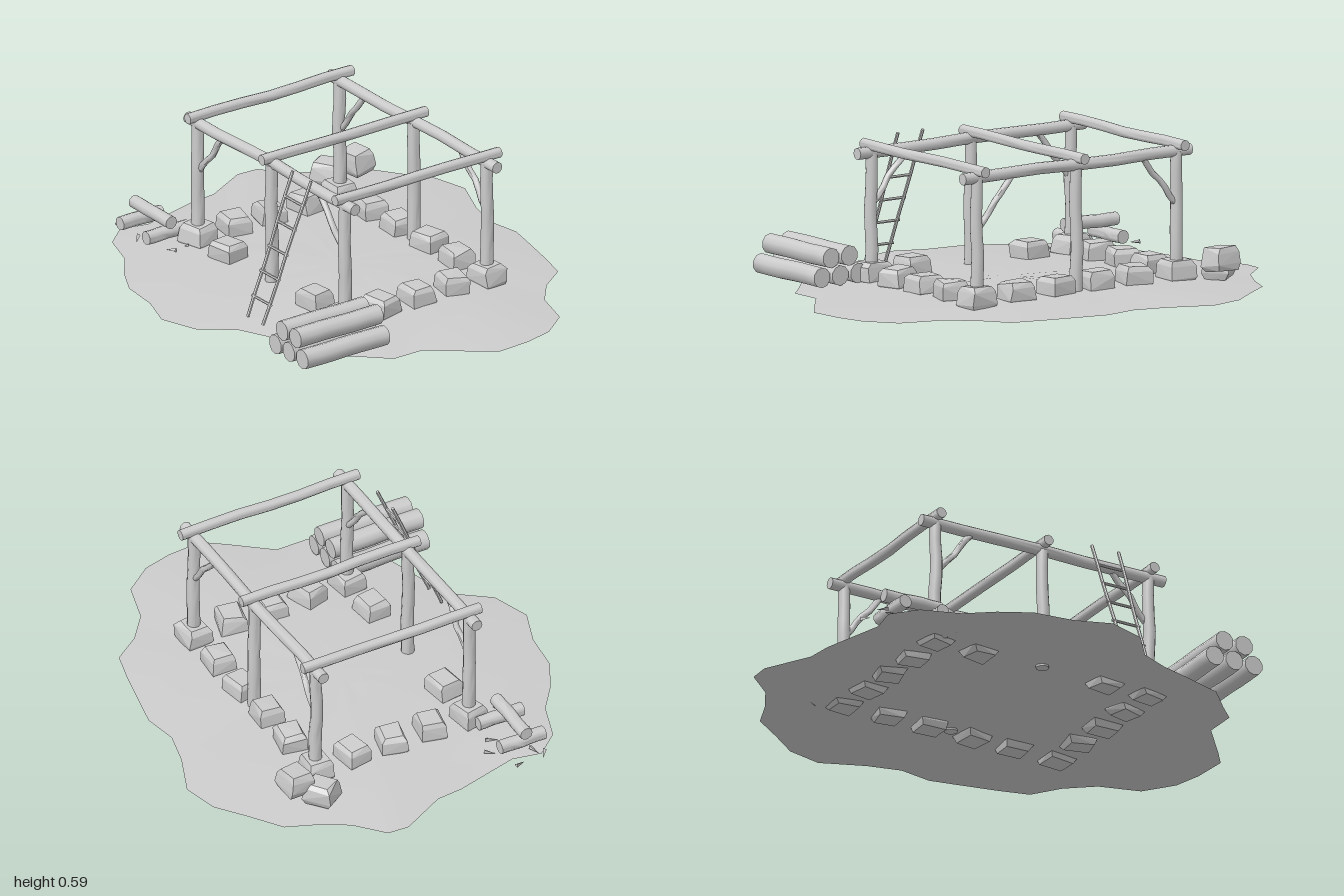
import * as THREE from 'three';
import { toCreasedNormals } from 'three/addons/utils/BufferGeometryUtils.js';
import { ConvexGeometry } from 'three/addons/geometries/ConvexGeometry.js';

let seed = 7;
function rand(s = 1) { // repeatable value in -s..s
  seed = (seed * 16807) % 2147483647;
  return (seed / 2147483647 * 2 - 1) * s;
}

const UP = new THREE.Vector3(0, 1, 0);

export function createModel() {
  const model = new THREE.Group();
  const grey = new THREE.MeshStandardMaterial({ color: 0xcccccc });
  grey.name = 'plain grey';
  const ground = new THREE.MeshStandardMaterial({ color: 0xcccccc, side: THREE.DoubleSide });
  ground.name = 'ground grey';

  function add(name, geo, mat = grey) {
    const mesh = new THREE.Mesh(geo, mat);
    mesh.name = name;
    model.add(mesh);
    return mesh;
  }

  // slightly crooked round timber from a to b
  function log(name, a, b, r, { wobble = 0.004, sides = 10, taper = 1 } = {}) {
    const p = new THREE.Vector3(...a), q = new THREE.Vector3(...b);
    const len = p.distanceTo(q);
    const geo = new THREE.CylinderGeometry(r * taper, r, len, sides, wobble ? 6 : 1);
    const pos = geo.attributes.position;
    const ph = rand(3), ph2 = rand(3);
    for (let i = 0; i < pos.count; i++) {
      const t = pos.getY(i) / len + 0.5, k = Math.sin(t * Math.PI);
      pos.setX(i, pos.getX(i) + wobble * k * Math.sin(t * 9 + ph));
      pos.setZ(i, pos.getZ(i) + wobble * k * Math.sin(t * 7 + ph2));
    }
    const mesh = add(name, toCreasedNormals(geo, 0.9));
    mesh.position.copy(p).add(q).multiplyScalar(0.5);
    mesh.quaternion.setFromUnitVectors(UP, q.sub(p).normalize());
    return mesh;
  }

  // rough hewn block with a bevelled top and bottom
  function stone(name, x, y, z, turn) {
    const pts = [];
    for (const [h, s] of [[0, 0.8], [0.025, 1], [0.075, 0.95], [0.095, 0.76]]) {
      for (const [sx, sz] of [[-1, -1], [1, -1], [1, 1], [-1, 1]]) {
        pts.push(new THREE.Vector3(sx * s * 0.06 + rand(0.005), h + rand(0.004), sz * s * 0.053 + rand(0.005)));
      }
    }
    const mesh = add(name, new ConvexGeometry(pts));
    mesh.position.set(x, y, z);
    mesh.rotation.y = turn;
    return mesh;
  }

  // low mound of earth with an uneven rim
  const rim = [
    [-.36, -.865], [-.18, -.79], [-.04, -.755], [.1, -.78], [.22, -.755], [.38, -.72], [.51, -.685],
    [.59, -.57], [.7, -.48], [.87, -.43], [.96, -.31], [.99, -.19], [1, -.04], [.94, .04], [.81, .2],
    [.81, .34], [.74, .41], [.64, .52], [.49, .57], [.34, .615], [.22, .67], [.12, .8], [-.04, .855],
    [-.19, .8], [-.36, .78], [-.49, .71], [-.6, .625], [-.76, .57], [-.845, .47], [-.82, .35],
    [-.89, .08], [-.9, -.03], [-1, -.22], [-.995, -.31], [-.88, -.41], [-.81, -.53], [-.76, -.65],
    [-.63, -.74], [-.51, -.83],
  ];
  const n = rim.length, rings = 6, verts = [0, 0.034, 0], faces = [];
  for (let k = 1; k <= rings; k++) {
    const t = k / rings;
    for (const [x, z] of rim) {
      verts.push(x * t, k === rings ? 0 : 0.034 * (1 - t * t) + rand(0.0015), z * t);
    }
  }
  for (let i = 0; i < n; i++) {
    const j = (i + 1) % n;
    faces.push(0, 1 + j, 1 + i);
    for (let k = 0; k < rings - 1; k++) {
      const a = 1 + k * n + i, b = 1 + k * n + j;
      faces.push(a, b, b + n, a, b + n, a + n);
    }
  }
  const mound = new THREE.BufferGeometry();
  mound.setAttribute('position', new THREE.Float32BufferAttribute(verts, 3));
  mound.setIndex(faces);
  mound.computeVertexNormals();
  add('groundMound', mound, ground);

  // timber frame
  const postX = [-0.535, -0.04, 0.45], rowZ = [-0.38, 0.315];
  for (const z of rowZ) {
    log('longBeam', [-0.6, 0.532, z], [0.52, 0.532, z], 0.024, { wobble: 0.005 });
    for (const x of postX) {
      log('post', [x, x === -0.04 ? 0.02 : 0.07, z], [x, 0.53, z], 0.027, { taper: 0.9 });
    }
    log('cornerBrace', [-0.525, 0.325, z], [-0.37, 0.52, z], 0.013, { wobble: 0.005, sides: 8 });
    log('cornerBrace', [0.445, 0.325, z], [0.28, 0.52, z], 0.013, { wobble: 0.005, sides: 8 });
  }
  for (const x of postX) log('crossBeam', [x, 0.56, -0.44], [x, 0.56, 0.365], 0.022);

  // foundation stones, leaving a doorway at the front
  for (const x of [-0.535, -0.33, -0.14, 0.06, 0.25, 0.45]) {
    stone('foundationStone', x, 0, -0.38, rand(0.3));
    if (x < -0.2 || x > 0.2) stone('foundationStone', x, 0, 0.315, rand(0.3));
  }
  for (const x of [-0.53, 0.45]) {
    for (const z of [-0.21, -0.035, 0.14]) stone('foundationStone', x, 0, z, rand(0.3));
  }
  // spare stones, one leaning on the other
  stone('spareStone', -0.7, 0.015, -0.445, 0.6);
  stone('spareStone', -0.64, 0.06, -0.54, 0.12).rotation.x = 0.12;

  // ladder leaning on the front beam
  const ladderPoint = (x, y) => [x, y, 0.59 - 0.23 * (y - 0.02) / 0.565];
  for (const [top, foot] of [[0.162, 0.175], [0.285, 0.276]]) {
    log('ladderRail', ladderPoint(foot, 0.02), ladderPoint(top, 0.585), 0.007, { wobble: 0.002, sides: 6 });
  }
  for (const y of [0.1, 0.198, 0.295, 0.392, 0.488]) {
    log('ladderRung', ladderPoint(0.16, y), ladderPoint(0.288, y), 0.006, { wobble: 0, sides: 6 });
  }

  // stacked logs
  for (const [x, y] of [[0.52, 0.055], [0.61, 0.055], [0.7, 0.055], [0.565, 0.13], [0.655, 0.13]]) {
    log('stackedLog', [x, y, 0.305], [x, y, 0.708], 0.041, { wobble: 0.002 });
  }

  // log resting on two short bearers, with wood chips around
  log('choppingLog', [-0.83, 0.11, 0.41], [-0.575, 0.11, 0.415], 0.027, { wobble: 0.002 });
  for (const x of [-0.79, -0.615]) log('bearerLog', [x, 0.054, 0.31], [x, 0.054, 0.51], 0.028, { wobble: 0.002 });
  for (const [x, z, turn] of [
    [-0.76, 0.285, 0.9], [-0.88, 0.355, 1.9], [-0.87, 0.465, -0.6], [-0.83, 0.445, 0.3],
    [-0.535, 0.365, -0.7], [-0.53, 0.45, 0.3], [-0.69, 0.33, 1.2], [-0.7, 0.49, 2.4],
  ]) {
    const chip = add('woodChip', new THREE.ConeGeometry(0.01, 0.048, 3).rotateZ(Math.PI / 2).toNonIndexed());
    chip.geometry.computeVertexNormals();
    chip.position.set(x, 0.018, z);
    chip.rotation.set(0, turn, 0.15);
  }

  return model;
}
